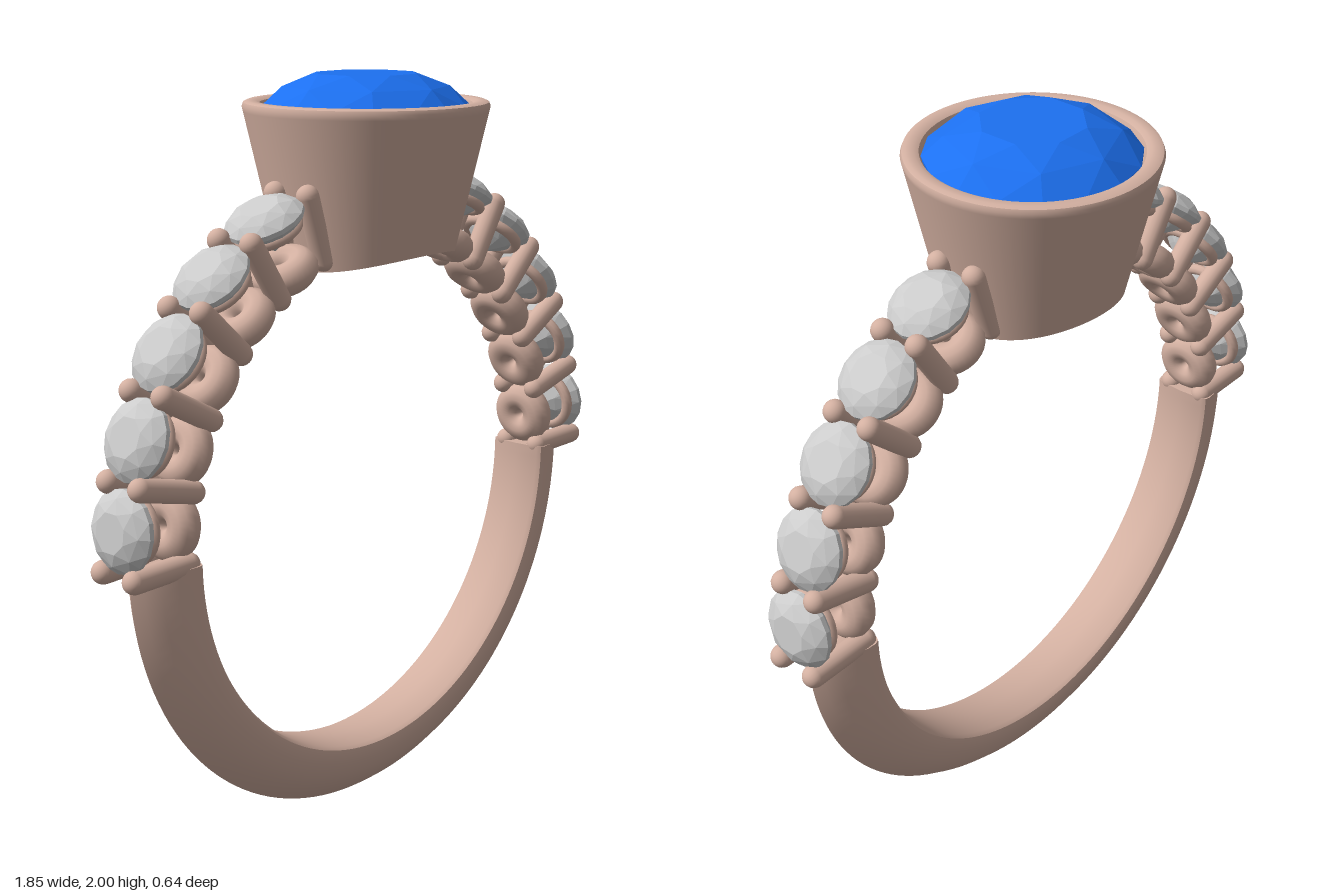
import * as THREE from 'three';
import { toCreasedNormals } from 'three/addons/utils/BufferGeometryUtils.js';
import { ConvexGeometry } from 'three/addons/geometries/ConvexGeometry.js';

const CENTER_Y = 0.865;   // centre of the finger hole
const INNER_R = 0.69;
const STEP = THREE.MathUtils.degToRad(14.3);
const STONES = 5;

const metal = new THREE.MeshStandardMaterial({ color: 0xd3b0a1 });
const metalSheet = new THREE.MeshStandardMaterial({ color: 0xd3b0a1, side: THREE.DoubleSide });
const blue = new THREE.MeshStandardMaterial({ color: 0x1c70f0, flatShading: true });
const clear = new THREE.MeshStandardMaterial({ color: 0xcccccc, flatShading: true });

function add(parent, name, geometry, material) {
  const mesh = new THREE.Mesh(geometry, material);
  mesh.name = name;
  parent.add(mesh);
  return mesh;
}

// Round brilliant cut with its girdle at y = 0
function gemGeometry(radius, crown, pavilion, girdle) {
  const points = [];
  const ring = (n, r, y, offset) => {
    for (let i = 0; i < n; i++) {
      const a = (i + offset) / n * Math.PI * 2;
      points.push(new THREE.Vector3(Math.sin(a) * r, y, Math.cos(a) * r));
    }
  };
  ring(8, radius * 0.5, crown, 0.5);
  ring(8, radius * 0.8, crown * 0.6, 0);
  ring(16, radius, 0, 0);
  ring(16, radius, -girdle, 0);
  ring(8, radius * 0.5, -girdle - pavilion * 0.58, 0.5);
  points.push(new THREE.Vector3(0, -girdle - pavilion, 0));
  return new ConvexGeometry(points);
}

// Lower half of the band: knife-edge section swept through 180 degrees
function buildBand() {
  const band = new THREE.Group();
  band.name = 'band';
  const half = [[0.863, 0], [0.842, 0.028], [0.81, 0.058], [0.775, 0.079], [0.74, 0.088],
    [0.715, 0.09], [0.702, 0.086], [0.695, 0.074]];
  const section = [
    ...half.slice(1).reverse().map(([r, z]) => new THREE.Vector2(r, -z)),
    ...half.map(([r, z]) => new THREE.Vector2(r, z)),
    new THREE.Vector2(INNER_R, 0),
  ];
  const sweep = new THREE.LatheGeometry([...section, section[0].clone()], 72, -Math.PI / 2, Math.PI);
  sweep.rotateX(Math.PI / 2);
  add(band, 'bandShank', toCreasedNormals(sweep, 0.6), metal);
  // Flat ends under the first prongs
  const capGeometry = new THREE.ShapeGeometry(new THREE.Shape(section)).rotateX(Math.PI / 2);
  add(band, 'bandEndLeft', capGeometry, metalSheet);
  add(band, 'bandEndRight', capGeometry, metalSheet).rotation.y = Math.PI;
  band.position.y = CENTER_Y;
  return band;
}

// Tapered cup, its base cut by the finger hole
function buildBezel() {
  const base = 1.555;
  const profile = [
    [0.11, base], [0.14, base], [0.17, base], [0.2, base], [0.235, base],
    [0.319, 1.905], [0.322, 1.918], [0.318, 1.928], [0.308, 1.932], [0.288, 1.932],
    [0.276, 1.926], [0.27, 1.912], [0.266, 1.89], [0.11, 1.7], [0.11, base],
  ].map(([r, y]) => new THREE.Vector2(r, y));
  const geometry = new THREE.LatheGeometry(profile, 72);
  const p = geometry.attributes.position;
  for (let i = 0; i < p.count; i++) {
    if (p.getY(i) < base + 0.001) {
      p.setY(i, CENTER_Y + Math.sqrt(INNER_R ** 2 - p.getX(i) ** 2));
    }
  }
  return toCreasedNormals(geometry, 0.7);
}

// One shoulder of set stones; side = 1 is the model's left
function buildShoulder(side, parts) {
  const shoulder = new THREE.Group();
  shoulder.name = side > 0 ? 'leftShoulder' : 'rightShoulder';
  shoulder.position.y = CENTER_Y;
  const radialGroup = (name, angle) => {
    const group = new THREE.Group();
    group.name = name;
    group.rotation.z = side * (angle - Math.PI / 2);
    shoulder.add(group);
    return group;
  };
  for (let i = 0; i <= STONES; i++) {
    const pair = radialGroup('prongPair', i * STEP);
    for (const z of [-1, 1]) {
      add(pair, 'prong', parts.prong, metal).position.set(0, 0.808, z * 0.056);
    }
  }
  for (let i = 0; i < STONES; i++) {
    const setting = radialGroup('stoneSetting', (i + 0.5) * STEP);
    add(setting, 'lowerRing', parts.lowerRing, metal).position.y = 0.732;
    add(setting, 'upperRing', parts.upperRing, metal).position.y = 0.853;
    add(setting, 'sideStone', parts.stone, clear).position.y = 0.89;
  }
  return shoulder;
}

export function createModel() {
  const ring = new THREE.Group();
  ring.name = 'ring';
  ring.add(buildBand());

  add(ring, 'bezel', buildBezel(), metal);
  add(ring, 'centreStone', gemGeometry(0.272, 0.083, 0.18, 0.008), blue).position.y = 1.917;

  const parts = {
    prong: new THREE.CapsuleGeometry(0.03, 0.174, 6, 16),
    lowerRing: new THREE.TorusGeometry(0.05, 0.042, 12, 32).rotateX(Math.PI / 2),
    upperRing: new THREE.TorusGeometry(0.075, 0.016, 10, 32).rotateX(Math.PI / 2),
    stone: gemGeometry(0.104, 0.035, 0.085, 0.012),
  };
  ring.add(buildShoulder(1, parts), buildShoulder(-1, parts));
  return ring;
}
